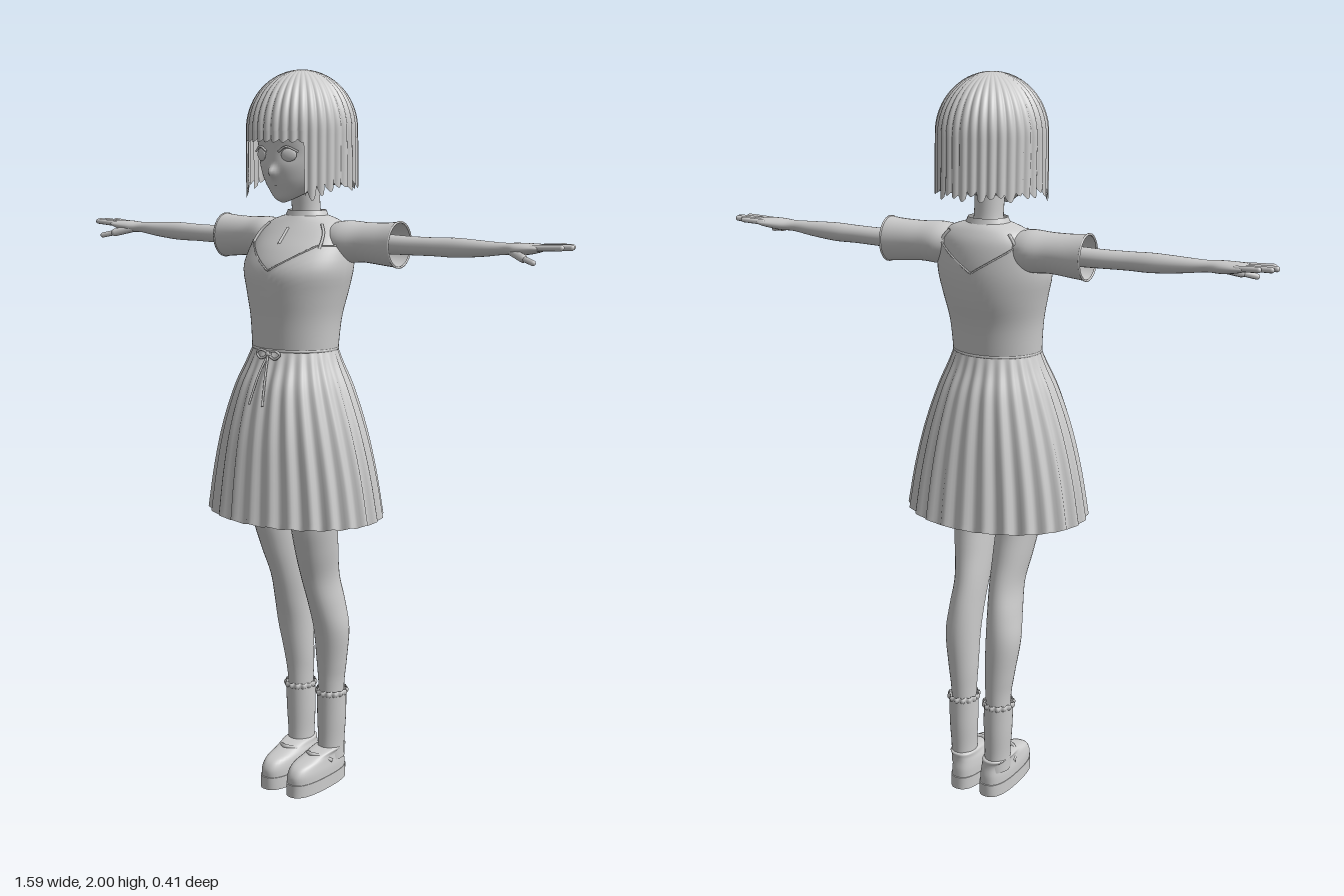
import * as THREE from 'three';

const { sin, cos, abs, PI, min, max, sqrt, exp } = Math;
const grey = new THREE.MeshStandardMaterial({ color: 0xcccccc, side: THREE.DoubleSide });
grey.name = 'plainGrey';

function add(parent, name, geometry) {
  const mesh = new THREE.Mesh(geometry, grey);
  mesh.name = name;
  parent.add(mesh);
  return mesh;
}

// Closed-around surface: fn(angle, v) -> [x, y, z]; angle 0 faces +z, v runs upward
function surf(fn, nu, nv) {
  const pos = [], index = [];
  for (let j = 0; j <= nv; j++)
    for (let i = 0; i < nu; i++) pos.push(...fn((i / nu) * 2 * PI, j / nv));
  for (let j = 0; j < nv; j++)
    for (let i = 0; i < nu; i++) {
      const k = (i + 1) % nu, a = j * nu + i, b = j * nu + k;
      index.push(a, b, b + nu, a, b + nu, a + nu);
    }
  const g = new THREE.BufferGeometry();
  g.setAttribute('position', new THREE.Float32BufferAttribute(pos, 3));
  g.setIndex(index);
  g.computeVertexNormals();
  return g;
}

// Smoothly sample rows of [y, centre x, centre z, radius x, radius z]
function sample(rows, v) {
  const n = rows.length - 1, s = min(max(v, 0), 1) * n;
  const i = min(Math.floor(s), n - 1), t = s - i;
  const r = k => rows[min(max(k, 0), n)];
  return rows[0].map((_, c) => {
    const p0 = r(i - 1)[c], p1 = r(i)[c], p2 = r(i + 1)[c], p3 = r(i + 2)[c];
    return p1 + 0.5 * t * (p2 - p0 + t * (2 * p0 - 5 * p1 + 4 * p2 - p3 + t * (3 * (p1 - p2) + p3 - p0)));
  });
}
const ring = ([y, cx, cz, rx, rz], a, grow = 0) =>
  [cx + (rx + grow) * sin(a), y, cz + (rz + grow) * cos(a)];
const loft = (rows, nu = 28, sub = 5) =>
  surf((a, v) => ring(sample(rows, v), a), nu, (rows.length - 1) * sub);

// Row index for a given height (rows rise monotonically)
function rowAt(rows, y) {
  let lo = 0, hi = 1;
  for (let k = 0; k < 22; k++) {
    const m = (lo + hi) / 2;
    if (sample(rows, m)[0] < y) lo = m; else hi = m;
  }
  return sample(rows, lo);
}

const V = p => new THREE.Vector3(...p);
const tube = (pts, r, n = 24, closed = false) =>
  new THREE.TubeGeometry(new THREE.CatmullRomCurve3(pts.map(V), closed), n, r, 6, closed);

function rod(parent, name, a, b, r) {
  const d = V(b).sub(V(a));
  const m = add(parent, name, new THREE.CapsuleGeometry(r, d.length(), 4, 8));
  m.position.copy(V(a).addScaledVector(d, 0.5));
  m.quaternion.setFromUnitVectors(new THREE.Vector3(0, 1, 0), d.normalize());
}

const torso = [
  [1.265, 0, 0, 0.118, 0.1], [1.35, 0, -0.004, 0.124, 0.109], [1.42, 0, -0.01, 0.138, 0.123],
  [1.48, 0, -0.014, 0.151, 0.129], [1.53, 0, -0.028, 0.148, 0.115], [1.575, 0, -0.045, 0.138, 0.09],
  [1.605, 0, -0.052, 0.105, 0.067], [1.622, 0, -0.052, 0.055, 0.05]];
const onTorso = (a, y, grow) => ring(rowAt(torso, y), a, grow);

function buildHead(root) {
  const head = new THREE.Group();
  head.name = 'head';
  root.add(head);
  const rows = [
    [1.657, 0, 0.05, 0.003, 0.005], [1.668, 0, 0.042, 0.026, 0.03], [1.69, 0, 0.015, 0.055, 0.065],
    [1.72, 0, -0.008, 0.081, 0.098], [1.76, 0, -0.022, 0.098, 0.12], [1.81, 0, -0.03, 0.108, 0.13],
    [1.87, 0, -0.03, 0.11, 0.13], [1.93, 0, -0.03, 0.08, 0.1], [1.965, 0, -0.03, 0.003, 0.003]];
  add(head, 'face', surf((a, v) => {
    const p = ring(sample(rows, v), a);
    if (cos(a) > 0) { // nose and soft eye hollows
      p[2] += 0.02 * exp(-((p[0] / 0.011) ** 2) - ((p[1] - 1.737) / 0.014) ** 2);
      p[2] -= 0.006 * exp(-(((abs(p[0]) - 0.045) / 0.025) ** 2) - ((p[1] - 1.785) / 0.022) ** 2);
    }
    return p;
  }, 96, 56));
  add(head, 'mouth', tube([[-0.014, 1.705, 0.079], [0, 1.703, 0.084], [0.014, 1.705, 0.079]], 0.002, 8));
  for (const s of [-1, 1]) {
    const eye = add(head, 'eye', new THREE.SphereGeometry(1, 20, 12));
    eye.scale.set(0.021, 0.017, 0.006);
    eye.position.set(s * 0.045, 1.782, 0.085);
    eye.rotation.y = s * 0.4;
    add(head, 'upperLash', tube([[s * 0.02, 1.79, 0.097], [s * 0.042, 1.803, 0.094], [s * 0.07, 1.79, 0.077]], 0.003, 10));
    const ear = add(head, 'ear', new THREE.SphereGeometry(1, 12, 8));
    ear.scale.set(0.01, 0.03, 0.02);
    ear.position.set(s * 0.107, 1.77, -0.03);
  }
  // Bobbed hair: ribbed cap with a fringe and long side locks
  add(head, 'hair', surf((a, v) => {
    const t = min(a, 2 * PI - a), lobe = abs(cos(18 * a));
    const wob = 0.008 * sin(Math.round(a * 18 / PI) * 2.4);
    const bottom = t < 0.73 ? 1.822 - 0.008 * lobe : t < 1.1 ? 1.695 - 0.025 * lobe + wob
      : 1.707 - 0.012 * lobe + wob;
    const k = v < 0.4 ? 0 : (v - 0.4) / 0.6 * PI / 2;
    const y = v < 0.4 ? bottom + (1.845 - bottom) * v / 0.4 : 1.845 + 0.155 * sin(k);
    const low = max(0, 1.845 - y);
    const r = cos(k) * (1 - 0.045 * (1 - lobe)) + 0.001;
    return [0.144 * r * sin(a), y, -0.03 - (cos(a) < 0 ? low * 0.03 : 0) + 0.156 * r * cos(a)];
  }, 288, 30));
  // Hair filling behind the nape
  add(head, 'napeHair', loft([[1.7, 0, -0.09, 0.01, 0.01], [1.703, 0, -0.09, 0.09, 0.06],
    [1.74, 0, -0.08, 0.122, 0.092], [1.84, 0, -0.07, 0.125, 0.1]]));
  add(head, 'neck', loft([[1.6, 0, -0.052, 0.046, 0.043], [1.64, 0, -0.048, 0.039, 0.038], [1.72, 0, -0.04, 0.041, 0.042]]));
}

function buildDress(root) {
  const dress = new THREE.Group();
  dress.name = 'dress';
  root.add(dress);
  add(dress, 'blouse', loft(torso, 48));
  // Bodice shell with a V neckline front and back
  const top = a => (cos(a) > 0 ? 1.483 : 1.5) + 0.065 * min(1, abs(sin(a)) * 1.4);
  add(dress, 'bodice', surf((a, v) => onTorso(a, 1.265 + (top(a) - 1.265) * v, 0.005), 64, 16));
  const edge = [];
  for (let i = 0; i < 64; i++) edge.push(onTorso(i / 32 * PI, top(i / 32 * PI), 0.004));
  add(dress, 'necklineTrim', tube(edge, 0.0025, 128, true));
  for (const a of [0.85, PI - 0.85, PI + 0.85, -0.85])
    add(dress, 'strap', tube([1.54, 1.56, 1.58, 1.6].map(y => onTorso(a, y, 0.003)), 0.004));
  // Stand collar and front placket
  add(dress, 'collar', surf((a, v) => ring([1.61 + 0.024 * v, 0, -0.052, 0.064 - 0.01 * v, 0.056 - 0.008 * v], a), 32, 3));
  add(dress, 'placket', tube([1.55, 1.57, 1.59].map(y => onTorso(0, y, 0.001)), 0.004));
  // Pleated skirt
  const skirt = [[0.81, 0, 0, 0.254, 0.197], [0.93, 0, 0.002, 0.233, 0.187], [1.05, 0, 0.004, 0.203, 0.173],
    [1.16, 0, 0.004, 0.165, 0.149], [1.23, 0, 0.002, 0.135, 0.12], [1.275, 0, 0, 0.119, 0.102]];
  add(dress, 'skirt', surf((a, v) => {
    const r = sample(skirt, v), w = 0.008 * (1 - v) ** 0.7 * cos(26 * a);
    r[0] += 0.004 * (1 - v) ** 4 * cos(26 * a);
    return ring(r, a, w);
  }, 208, 24));
  const band = [];
  for (let i = 0; i < 24; i++) band.push(ring([1.27, 0, 0, 0.12, 0.103], i / 12 * PI));
  add(dress, 'waistCord', tube(band, 0.005, 72, true));
  // Bow at the waist
  const knot = add(dress, 'bowKnot', new THREE.SphereGeometry(0.008, 10, 8));
  knot.position.set(0, 1.262, 0.116);
  for (const s of [-1, 1]) {
    add(dress, 'bowLoop', tube([[0, 1.262, 0.116], [s * 0.024, 1.272, 0.119], [s * 0.038, 1.262, 0.117],
      [s * 0.024, 1.25, 0.12]], 0.0035, 24, true));
    add(dress, 'bowTail', tube([[0, 1.26, 0.118], [s * 0.011, 1.21, 0.143], [s * 0.023, 1.13, 0.172]], 0.003));
  }
}

// One arm along local +y, turned outward toward +x (local x points down)
function buildArm(root, s) {
  const side = new THREE.Group();
  side.name = s > 0 ? 'leftArm' : 'rightArm';
  side.scale.x = s;
  root.add(side);
  const arm = new THREE.Group();
  arm.rotation.z = -PI / 2;
  arm.position.y = 1.555;
  side.add(arm);
  add(arm, 'sleeve', loft([[0.08, -0.004, -0.052, 0.04, 0.05], [0.13, 0, -0.056, 0.055, 0.064], [0.19, 0, -0.06, 0.053, 0.056],
    [0.25, 0.002, -0.062, 0.056, 0.054], [0.295, 0.002, -0.063, 0.06, 0.055]], 32));
  const hem = [];
  for (let i = 0; i < 16; i++) hem.push(ring([0.293, 0.002, -0.063, 0.059, 0.054], i / 8 * PI));
  add(arm, 'sleeveHem', tube(hem, 0.003, 40, true));
  add(arm, 'arm', loft([[0.12, 0, -0.06, 0.03, 0.03], [0.3, 0.002, -0.062, 0.025, 0.027], [0.4, 0.001, -0.06, 0.024, 0.026],
    [0.47, 0, -0.06, 0.025, 0.027], [0.55, -0.002, -0.058, 0.02, 0.023], [0.61, -0.005, -0.057, 0.015, 0.019],
    [0.65, -0.006, -0.056, 0.016, 0.031], [0.69, -0.009, -0.06, 0.013, 0.037], [0.715, -0.012, -0.064, 0.008, 0.033],
    [0.722, -0.012, -0.064, 0.001, 0.002]], 24));
  const tips = [[0.755, -0.098], [0.783, -0.085], [0.79, -0.066], [0.775, -0.042]];
  tips.forEach(([y, z], i) => rod(arm, 'finger', [-0.012, 0.695, -0.088 + i * 0.017], [-0.016, y, z], 0.0075));
  rod(arm, 'thumbBase', [0, 0.64, -0.042], [0.012, 0.685, -0.018], 0.011);
  rod(arm, 'thumb', [0.012, 0.685, -0.018], [0.02, 0.72, -0.004], 0.0075);
}

function buildLeg(root, s) {
  const leg = new THREE.Group();
  leg.name = s > 0 ? 'leftLeg' : 'rightLeg';
  leg.scale.x = s;
  root.add(leg);
  add(leg, 'leg', loft([[0.1, 0.055, -0.1, 0.03, 0.034], [0.28, 0.055, -0.098, 0.034, 0.041], [0.36, 0.058, -0.095, 0.041, 0.046],
    [0.46, 0.064, -0.085, 0.048, 0.055], [0.54, 0.06, -0.068, 0.046, 0.062], [0.62, 0.055, -0.045, 0.045, 0.066],
    [0.71, 0.061, -0.018, 0.053, 0.072], [0.82, 0.068, 0.005, 0.06, 0.078], [1.0, 0.072, 0.005, 0.066, 0.085],
    [1.15, 0.06, 0, 0.06, 0.085]]));
  add(leg, 'sock', loft([[0.07, 0.053, -0.1, 0.036, 0.044], [0.12, 0.054, -0.1, 0.035, 0.043], [0.19, 0.055, -0.1, 0.039, 0.045],
    [0.272, 0.056, -0.098, 0.041, 0.045]]));
  // Ruffled sock top
  add(leg, 'sockFrill', surf((a, v) => ring([0.262 + 0.016 * v, 0.056, -0.098, 0.041, 0.045], a,
    0.003 * sin(PI * v) + 0.003 * cos(14 * a)), 84, 4));
  // Straight-sided sole
  const foot = (y, r) => [y, 0.046, -0.039, 0.044 * r, 0.119 * r];
  const boxy = ([y, cx, cz, rx, rz], a) => {
    const k = 1 / (abs(sin(a)) ** 2.6 + abs(cos(a)) ** 2.6) ** (1 / 2.6);
    return [cx + rx * k * sin(a), y, cz + rz * k * cos(a)];
  };
  const sole = [foot(0, 0.001), foot(0, 1), foot(0, 1), foot(0.036, 1), foot(0.036, 1), foot(0.036, 0.9)];
  add(leg, 'sole', surf((a, v) => boxy(sole[Math.round(v * 5)], a), 48, 5));
  const upper = [foot(0.034, 0.97), foot(0.058, 0.96), [0.08, 0.046, -0.046, 0.039, 0.103],
    [0.093, 0.048, -0.068, 0.036, 0.08], [0.104, 0.052, -0.092, 0.037, 0.056], [0.108, 0.053, -0.098, 0.03, 0.04]];
  add(leg, 'shoeUpper', surf((a, v) => boxy(sample(upper, v), a), 48, 20));
  add(leg, 'shoeStrap', tube([[0.01, 0.075, -0.06], [0.022, 0.094, -0.03], [0.047, 0.101, -0.012], [0.072, 0.094, -0.03], [0.085, 0.075, -0.06]], 0.006));
}

export function createModel() {
  const root = new THREE.Group();
  root.name = 'girlInDress';
  buildHead(root);
  buildDress(root);
  for (const s of [-1, 1]) {
    buildArm(root, s);
    buildLeg(root, s);
  }
  return root;
}
